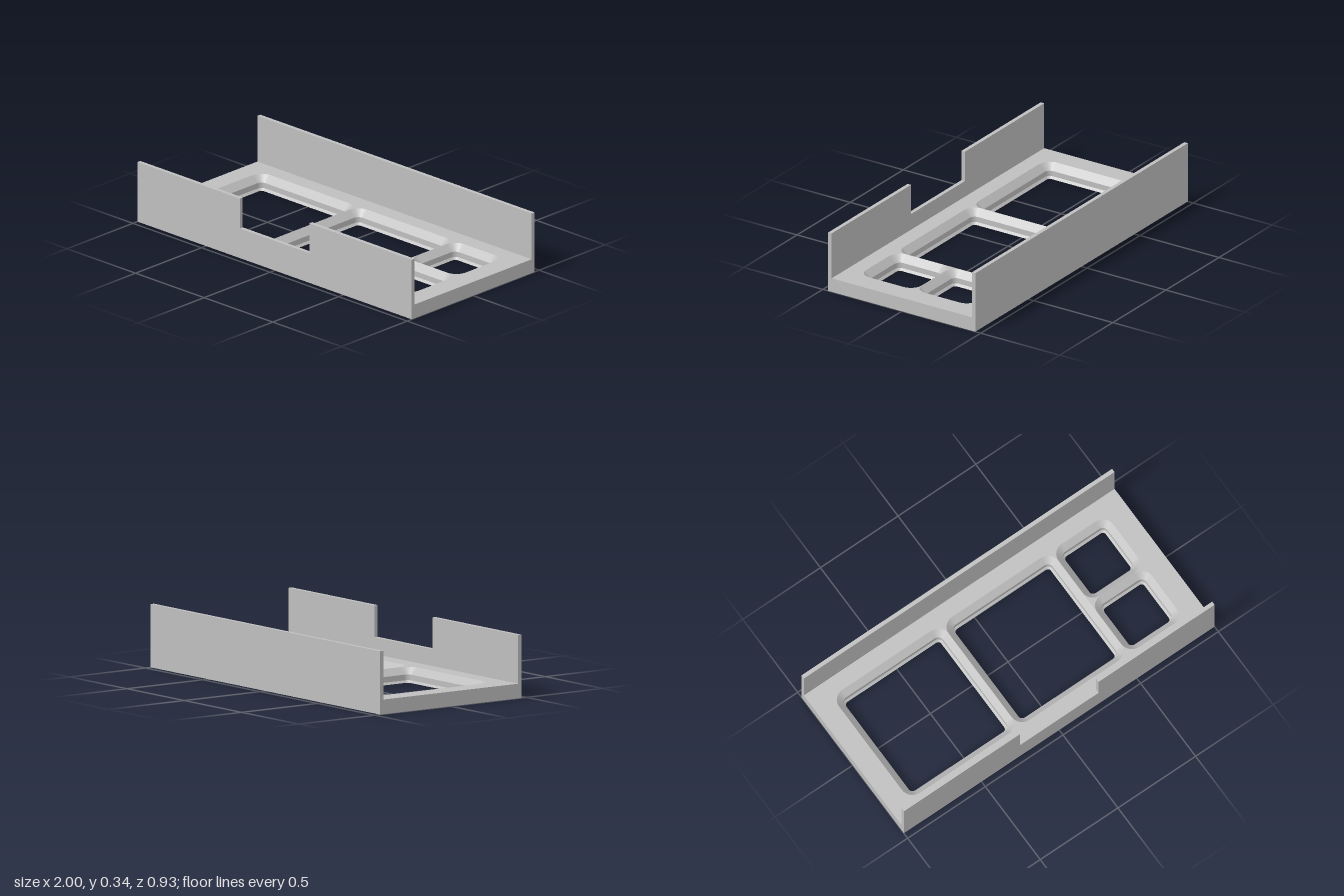
import * as THREE from 'three';
import { mergeGeometries } from 'three/addons/utils/BufferGeometryUtils.js';

const HALF_X = 1, HALF_Z = 0.466, WALL = 0.022, HEIGHT = 0.337, FLOOR = 0.078;
const INNER_Z = HALF_Z - WALL;

// Openings: centre x, centre z, half size
const CELLS = [
  [-0.532, 0, 0.353],
  [0.174, 0, 0.353],
  [0.7035, -0.1765, 0.1765],
  [0.7035, 0.1765, 0.1765],
];

// Pocket profile from bottom to top: height, inset, corner radius
const PROFILE = [
  [0, 0.048, 0.019],
  [0.012, 0.036, 0.031],
  [0.042, 0.036, 0.031],
  [FLOOR, 0.0005, 0.067],
];

// Rounded square outline
function ring([cx, cz, half], [, inset, radius]) {
  const pts = [], steps = 8, d = half - inset - radius;
  for (let q = 0; q < 4; q++) {
    const sx = q === 0 || q === 3 ? 1 : -1;
    const sz = q < 2 ? 1 : -1;
    for (let i = 0; i <= steps; i++) {
      const a = (q + i / steps) * Math.PI / 2;
      pts.push(new THREE.Vector2(cx + sx * d + radius * Math.cos(a), cz + sz * d + radius * Math.sin(a)));
    }
  }
  return pts;
}

// One band of pocket wall between two profile levels, facing the opening
function band(cell, low, high) {
  const a = ring(cell, low), b = ring(cell, high), n = a.length;
  const pos = [], index = [];
  a.forEach((p) => pos.push(p.x, low[0], p.y));
  b.forEach((p) => pos.push(p.x, high[0], p.y));
  for (let i = 0; i < n; i++) {
    const j = (i + 1) % n;
    index.push(i, j, n + i, j, n + j, n + i);
  }
  const g = new THREE.BufferGeometry();
  g.setAttribute('position', new THREE.Float32BufferAttribute(pos, 3));
  g.setIndex(index);
  g.computeVertexNormals();
  return g;
}

function polygon(points) {
  return new THREE.Shape(points.map(([x, y]) => new THREE.Vector2(x, y)));
}

// Flat plate face with the openings cut at one profile level
function plateFace(level, up) {
  const shape = polygon([[-HALF_X, -INNER_Z], [HALF_X, -INNER_Z], [HALF_X, INNER_Z], [-HALF_X, INNER_Z]]);
  for (const cell of CELLS) shape.holes.push(new THREE.Path(ring(cell, level)));
  return new THREE.ShapeGeometry(shape)
    .rotateX(up ? -Math.PI / 2 : Math.PI / 2)
    .translate(0, level[0], 0);
}

export function createModel() {
  const group = new THREE.Group();
  const grey = new THREE.MeshStandardMaterial({ color: 0xbfbfbf });
  grey.name = 'grey';
  const add = (name, geometry) => {
    const mesh = new THREE.Mesh(geometry, grey);
    mesh.name = name;
    group.add(mesh);
    return mesh;
  };

  // Floor plate
  add('floorTop', plateFace(PROFILE[3], true));
  add('floorBottom', plateFace(PROFILE[0], false));
  for (const side of [1, -1]) {
    add(side > 0 ? 'floorLeftEnd' : 'floorRightEnd',
      new THREE.PlaneGeometry(2 * INNER_Z, FLOOR).rotateY(side * Math.PI / 2).translate(side * HALF_X, FLOOR / 2, 0));
  }

  // Stepped, chamfered pocket walls
  CELLS.forEach((cell, i) => {
    const bands = [0, 1, 2].map((k) => band(cell, PROFILE[k], PROFILE[k + 1]));
    add('pocket' + (i + 1), mergeGeometries(bands));
  });

  // Back wall
  add('backWall', new THREE.BoxGeometry(2 * HALF_X, HEIGHT, WALL)
    .translate(0, HEIGHT / 2, -HALF_Z + WALL / 2));

  // Front wall with a central notch
  const notch = 0.253, sill = 0.168;
  const front = polygon([
    [-HALF_X, 0], [HALF_X, 0], [HALF_X, HEIGHT], [notch, HEIGHT],
    [notch, sill], [-notch, sill], [-notch, HEIGHT], [-HALF_X, HEIGHT],
  ]);
  add('frontWall', new THREE.ExtrudeGeometry(front, { depth: WALL, bevelEnabled: false })
    .translate(0, 0, INNER_Z));

  return group;
}
